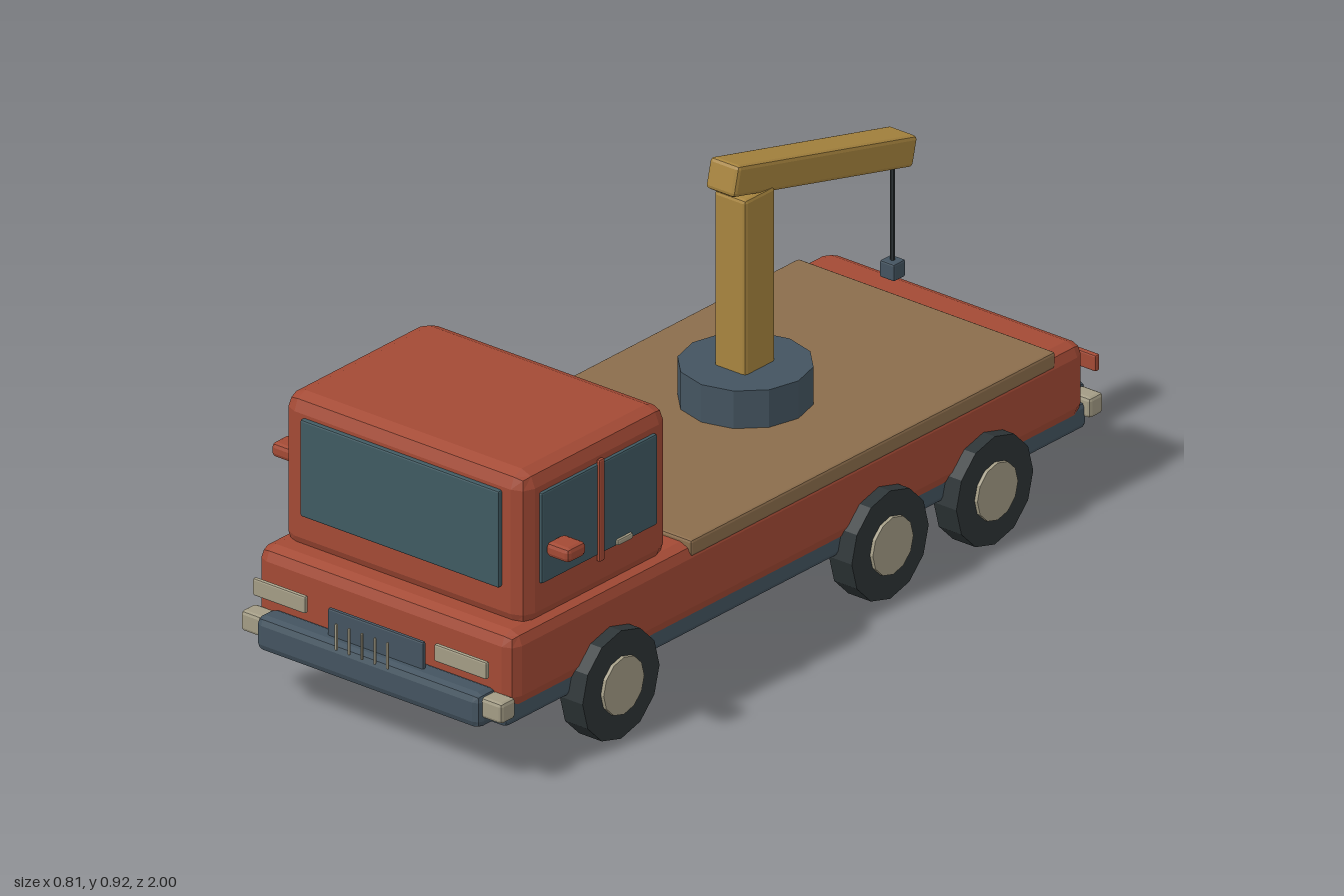
import * as THREE from 'three';
import { RoundedBoxGeometry } from 'three/addons/geometries/RoundedBoxGeometry.js';

const paint = (color) => new THREE.MeshStandardMaterial({ color, flatShading: true });

export function createModel() {
  const truck = new THREE.Group();
  truck.name = 'craneTruck';

  const red = paint(0xa34a35);
  const wood = paint(0x8b6d4c);
  const yellow = paint(0xa8853f);
  const glass = paint(0x405a62);
  const steel = paint(0x445460);
  const rubber = paint(0x2d3436);
  const beige = paint(0xa39c85);

  const add = (name, geometry, material, x = 0, y = 0, z = 0) => {
    const mesh = new THREE.Mesh(geometry, material);
    mesh.name = name;
    mesh.position.set(x, y, z);
    truck.add(mesh);
    return mesh;
  };
  // Chamfered box given by its extents on each axis
  const box = (name, material, [x0, x1], [y0, y1], [z0, z1], chamfer = 0.004) => {
    const w = x1 - x0, h = y1 - y0, d = z1 - z0;
    const c = Math.min(chamfer, w * 0.4, h * 0.4, d * 0.4);
    return add(name, new RoundedBoxGeometry(w, h, d, 1, c), material,
      (x0 + x1) / 2, (y0 + y1) / 2, (z0 + z1) / 2);
  };
  // The same box on both sides
  const pair = (name, material, [x0, x1], y, z, chamfer) => {
    box('left' + name, material, [x0, x1], y, z, chamfer);
    box('right' + name, material, [-x1, -x0], y, z, chamfer);
  };

  // Chassis, body and deck
  box('chassis', steel, [-0.34, 0.34], [0.13, 0.19], [-0.955, 0.935], 0.012);
  box('body', red, [-0.35, 0.35], [0.165, 0.34], [-0.94, 0.925], 0.03);
  box('deck', wood, [-0.35, 0.35], [0.312, 0.35], [-0.84, 0.345], 0.006);

  // Cab with windows, door pillars, handles and mirrors
  box('cab', red, [-0.33, 0.33], [0.32, 0.68], [0.39, 0.865], 0.036);
  box('windscreen', glass, [-0.27, 0.27], [0.412, 0.636], [0.86, 0.876]);
  box('rearWindow', glass, [-0.27, 0.27], [0.412, 0.636], [0.379, 0.395]);
  pair('SideWindow', glass, [0.325, 0.338], [0.42, 0.63], [0.44, 0.815]);
  pair('DoorPillar', red, [0.334, 0.344], [0.405, 0.642], [0.617, 0.635]);
  pair('DoorHandle', beige, [0.334, 0.344], [0.421, 0.435], [0.525, 0.575]);
  pair('Mirror', red, [0.342, 0.405], [0.484, 0.517], [0.75, 0.81], 0.01);

  // Bumpers with end caps
  box('frontBumper', steel, [-0.305, 0.305], [0.13, 0.21], [0.915, 0.982], 0.018);
  box('rearBumper', steel, [-0.305, 0.305], [0.13, 0.21], [-1, -0.935], 0.018);
  pair('FrontBumperEnd', beige, [0.295, 0.355], [0.155, 0.202], [0.92, 0.968], 0.008);
  pair('RearBumperEnd', beige, [0.295, 0.355], [0.155, 0.202], [-0.99, -0.945], 0.008);

  // Lights and grille
  pair('Headlight', beige, [0.175, 0.318], [0.25, 0.29], [0.962, 0.973]);
  pair('TailLight', red, [0.175, 0.345], [0.25, 0.288], [-0.99, -0.976]);
  box('grille', steel, [-0.13, 0.13], [0.205, 0.272], [0.944, 0.954]);
  for (let i = -2; i <= 2; i++) {
    const x = i * 0.035;
    box('grilleBar', beige, [x - 0.003, x + 0.003], [0.208, 0.27], [0.994, 1]);
  }

  // Wheels: one axle in front, two behind
  const tyre = new THREE.CylinderGeometry(0.125, 0.125, 0.062, 12).rotateZ(Math.PI / 2);
  const hub = new THREE.CylinderGeometry(0.066, 0.066, 0.074, 12).rotateZ(Math.PI / 2);
  for (const z of [0.61, -0.265, -0.605]) {
    for (const side of [1, -1]) {
      add('tyre', tyre, rubber, side * 0.35, 0.125, z);
      add('hub', hub, beige, side * 0.352, 0.125, z);
    }
  }

  // Crane: turntable, post, sloping boom, cable and hook block
  add('turntable', new THREE.CylinderGeometry(0.144, 0.144, 0.09, 12), steel, 0, 0.392, -0.25);
  box('cranePost', yellow, [-0.043, 0.043], [0.42, 0.84], [-0.296, -0.198], 0.008);
  const boom = add('craneBoom', new RoundedBoxGeometry(0.08, 0.07, 0.602, 1, 0.009), yellow, 0, 0.82, -0.465);
  boom.rotation.x = -0.242;
  add('cable', new THREE.CylinderGeometry(0.005, 0.005, 0.24, 6), rubber, 0, 0.61, -0.728);
  box('hookBlock', steel, [-0.02, 0.02], [0.457, 0.496], [-0.747, -0.709]);

  return truck;
}
